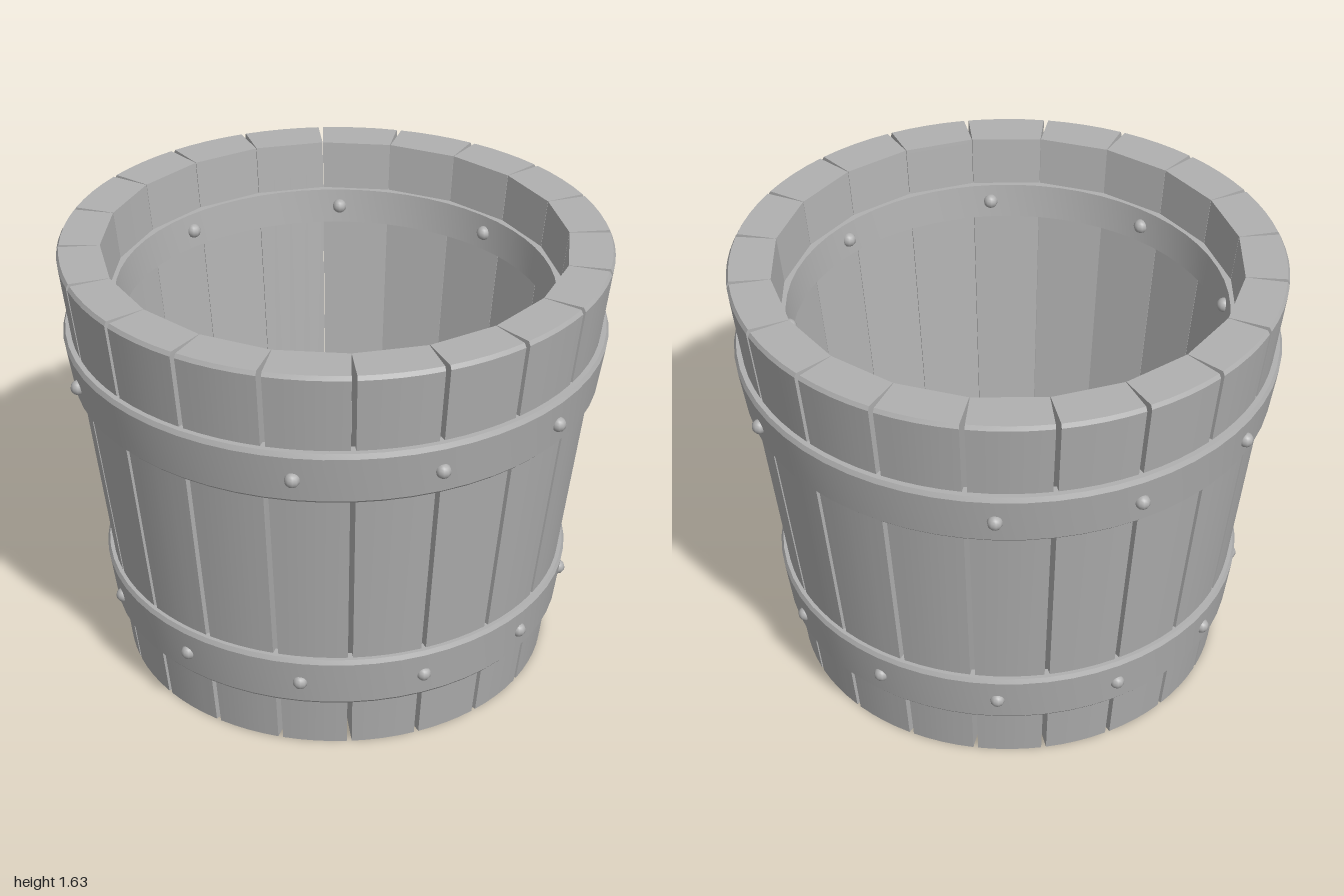
import * as THREE from 'three';
import { toCreasedNormals } from 'three/addons/utils/BufferGeometryUtils.js';

const HEIGHT = 1.63;
const STAVES = 20;
const lerp = THREE.MathUtils.lerp;

// A box bent into one tapered stave: x becomes angle, z becomes radius.
function staveGeometry() {
  const geo = new THREE.BoxGeometry(1, 1, 1, 4, 2, 1);
  const pos = geo.attributes.position;
  const half = Math.PI / STAVES;
  for (let i = 0; i < pos.count; i++) {
    const row = Math.round((pos.getY(i) + 0.5) * 2);
    const outside = pos.getZ(i) > 0;
    const y = [0, HEIGHT - 0.015, HEIGHT][row];
    const v = y / HEIGHT;
    const outer = lerp(0.798, 0.992, v) - (row === 2 ? 0.01 : 0);
    const inner = lerp(0.652, 0.826, v);
    const gap = outside ? 0.009 / outer : 0.001; // joints open towards the outside
    const t = pos.getX(i) * 2 * (half - gap);
    const r = outside ? outer : inner * Math.cos(half) / Math.cos(t) + 0.01;
    pos.setXYZ(i, r * Math.sin(t), y, r * Math.cos(t));
  }
  return toCreasedNormals(geo, 0.35);
}

// Closed ring from a counter-clockwise [radius, height] profile.
function ringGeometry(profile) {
  const points = [...profile, profile[0]].map(([r, y]) => new THREE.Vector2(r, y));
  return toCreasedNormals(new THREE.LatheGeometry(points, 60), 0.35);
}

export function createModel() {
  const model = new THREE.Group();
  model.name = 'bucket';
  const grey = new THREE.MeshStandardMaterial({ color: 0xb0b0b0 });
  grey.name = 'grey';

  const add = (name, geometry, parent = model) => {
    const mesh = new THREE.Mesh(geometry, grey);
    mesh.name = name;
    parent.add(mesh);
    return mesh;
  };

  // Staves
  const staves = new THREE.Group();
  staves.name = 'staves';
  model.add(staves);
  const staveShape = staveGeometry();
  for (let i = 0; i < STAVES; i++) {
    add('stave', staveShape, staves).rotation.y = (i + 0.5) * 2 * Math.PI / STAVES;
  }

  // Recessed floor
  const floor = add('floor', new THREE.CylinderGeometry(0.685, 0.675, 0.07, 60));
  floor.position.y = 0.085;

  // Hoops with slightly bevelled edges
  add('upperHoop', ringGeometry([
    [0.91, 1.125], [0.945, 1.125], [0.957, 1.137], [0.984, 1.315], [0.976, 1.333], [0.93, 1.333],
  ]));
  add('lowerHoop', ringGeometry([
    [0.80, 0.205], [0.836, 0.205], [0.846, 0.217], [0.870, 0.395], [0.862, 0.412], [0.82, 0.412],
  ]));
  add('innerHoop', ringGeometry([
    [0.776, 1.32], [0.83, 1.32], [0.84, 1.45], [0.792, 1.45],
  ]));

  // Rivets, at angles measured in degrees from the front
  const rivetShape = new THREE.SphereGeometry(0.027, 10, 8);
  const addRivets = (name, angles, radius, y) => {
    const group = new THREE.Group();
    group.name = name;
    model.add(group);
    for (const degrees of angles) {
      const a = THREE.MathUtils.degToRad(degrees);
      add('rivet', rivetShape, group).position.set(radius * Math.sin(a), y, radius * Math.cos(a));
    }
  };
  addRivets('upperRivets', [0, 30, 90, 150, 180, 210, 270, 330], 0.973, 1.225);
  addRivets('lowerRivets', Array.from({ length: 12 }, (_, i) => i * 30), 0.853, 0.305);
  addRivets('innerRivets', Array.from({ length: 8 }, (_, i) => 22.5 + i * 45), 0.782, 1.385);

  return model;
}
